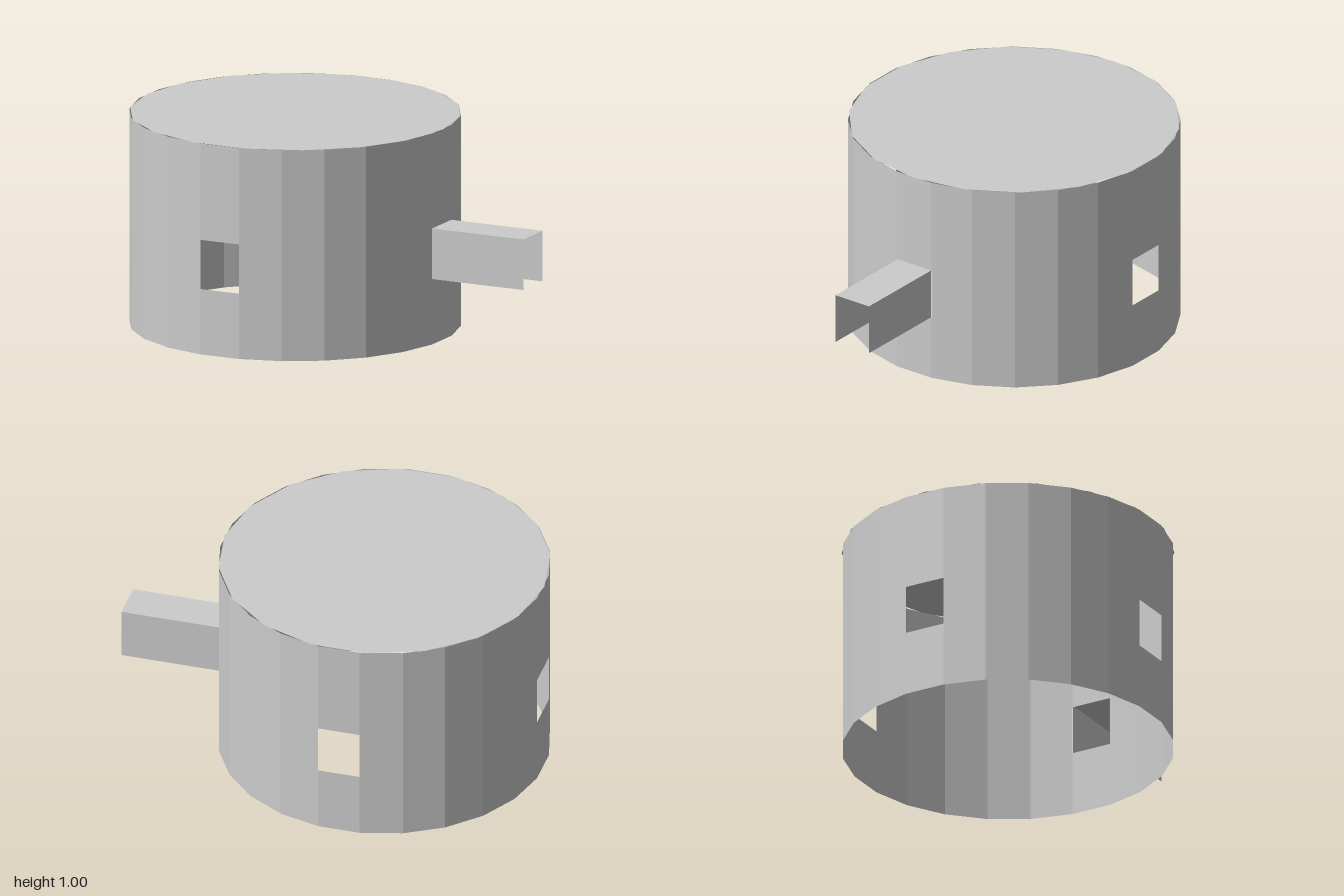
import * as THREE from 'three';
import { mergeGeometries } from 'three/addons/utils/BufferGeometryUtils.js';

export function createModel() {
  const group = new THREE.Group();
  const grey = new THREE.MeshStandardMaterial({ color: 0xcccccc, side: THREE.DoubleSide });
  grey.name = 'light grey';

  const cx = -0.234, radius = 0.767, height = 1, sides = 24;
  const holeBottom = 0.31, holeTop = 0.543;
  const apothem = radius * Math.cos(Math.PI / sides);
  const facetWidth = 2 * radius * Math.sin(Math.PI / sides);

  const add = (name, geometry) => {
    const mesh = new THREE.Mesh(geometry, grey);
    mesh.name = name;
    group.add(mesh);
  };

  // Thin drum wall: flat facets, with an opening in the four that face the axes
  const facets = [];
  const addFacet = (angle, y0, y1) => facets.push(
    new THREE.PlaneGeometry(facetWidth, y1 - y0)
      .translate(0, (y0 + y1) / 2, apothem)
      .rotateY(angle)
      .translate(cx, 0, 0));
  for (let i = 0; i < sides; i++) {
    const angle = (i / sides) * Math.PI * 2;
    if (i % (sides / 4) === 0) {
      addFacet(angle, 0, holeBottom);
      addFacet(angle, holeTop, height);
    } else {
      addFacet(angle, 0, height);
    }
  }
  add('drumWall', mergeGeometries(facets));

  // Flat roof with fewer sides than the wall; the bottom stays open
  add('roof', new THREE.CircleGeometry(radius, 18).rotateX(-Math.PI / 2).translate(cx, height, 0));

  // Side passage: two walls and a roof, without floor or end
  const x0 = cx + apothem, x1 = 1, halfWidth = 0.097, passageTop = 0.55;
  const length = x1 - x0, mid = (x0 + x1) / 2;
  const wallHeight = passageTop - holeBottom;
  for (const side of [1, -1]) {
    add(side > 0 ? 'passageFrontWall' : 'passageBackWall',
      new THREE.PlaneGeometry(length, wallHeight)
        .rotateY(side > 0 ? 0 : Math.PI)
        .translate(mid, holeBottom + wallHeight / 2, side * halfWidth));
  }
  add('passageRoof', new THREE.PlaneGeometry(length, halfWidth * 2)
    .rotateX(-Math.PI / 2).translate(mid, passageTop, 0));

  return group;
}
